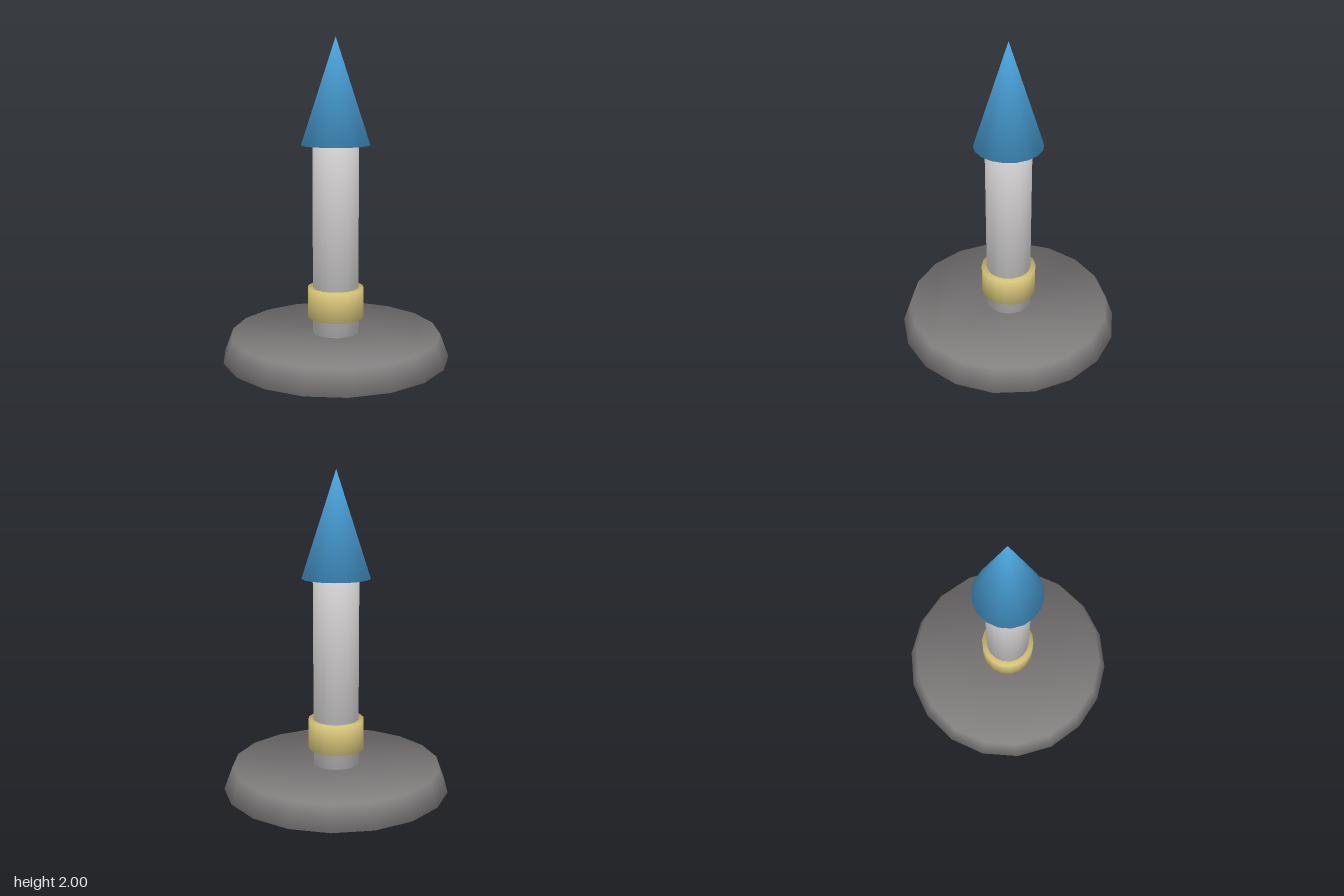
import * as THREE from 'three';

const SIDES = 18;

// Closed, softly shaded drum or cone standing between y0 and y1.
function turned(rTop, rBottom, y0, y1) {
  const geo = new THREE.CylinderGeometry(rTop, rBottom, y1 - y0, SIDES, 1, true);
  const index = Array.from(geo.index.array);
  const low = SIDES + 1; // first vertex of the bottom ring
  for (let i = 1; i < SIDES - 1; i++) {
    if (rTop > 0) index.push(0, i, i + 1);
    index.push(low, low + i + 1, low + i);
  }
  geo.setIndex(index);

  // Rims share one normal between wall and cap, leaning outwards
  const pos = geo.attributes.position;
  const n = new THREE.Vector3();
  for (let i = 0; i < pos.count; i++) {
    const r = Math.hypot(pos.getX(i), pos.getZ(i));
    const up = Math.sign(pos.getY(i));
    if (r > 1e-6) n.set(pos.getX(i) / r, up * 0.55, pos.getZ(i) / r).normalize();
    else n.set(0, up, 0);
    geo.attributes.normal.setXYZ(i, n.x, n.y, n.z);
  }
  // Corners lie on the x axis, flats face the z axis
  geo.rotateY(Math.PI / 2);
  geo.translate(0, (y0 + y1) / 2, 0);
  return geo;
}

function material(name, color) {
  const m = new THREE.MeshStandardMaterial({ color });
  m.name = name;
  return m;
}

export function createModel() {
  const group = new THREE.Group();
  group.name = 'pillar';

  const add = (name, geometry, mat) => {
    const mesh = new THREE.Mesh(geometry, mat);
    mesh.name = name;
    group.add(mesh);
  };

  // Wide tapered foot
  add('base', turned(0.665, 0.72, 0, 0.147), material('dark grey', 0x878484));
  // Straight column
  add('shaft', turned(0.145, 0.145, 0.147, 1.34), material('light grey', 0xcccaca));
  // Band around the lower column
  add('collar', turned(0.178, 0.178, 0.25, 0.44), material('pale gold', 0xd9c77a));
  // Pointed roof
  add('coneTip', turned(0, 0.215, 1.34, 2), material('blue', 0x4ca6e0));

  return group;
}
